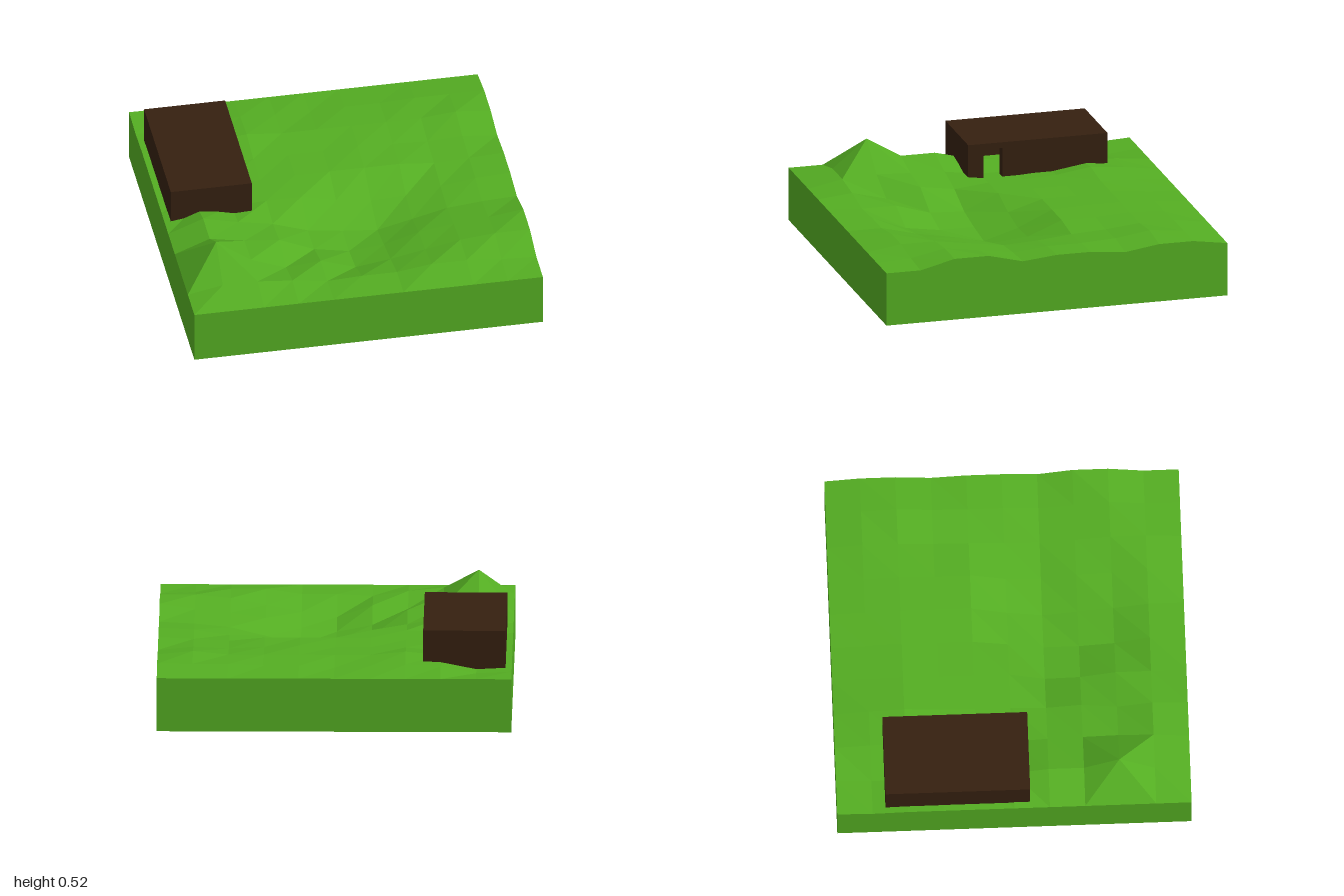
import * as THREE from 'three';

const GREEN = 0x54ad22, BROWN = 0x352010;

// Ground heights in hundredths: rows run back to front, columns from x = -1 to 1
const HEIGHTS = [
  [31, 31, 31, 31, 31, 31, 31, 31, 31, 31, 31],
  [30, 29, 33, 34, 33, 32, 33, 33, 34, 34, 34],
  [31, 30, 34, 36, 34, 34, 34, 34, 34, 36, 34],
  [31, 31, 31, 33, 33, 33, 34, 33, 32, 33, 31],
  [31, 31, 31, 32, 33, 33, 33, 33, 31, 32, 33],
  [31, 34, 31, 32, 32, 27, 24, 25, 29, 32, 33],
  [31, 39, 34, 30, 23, 20, 18, 23, 28, 30, 31],
  [31, 39, 35, 33, 24, 20, 22, 28, 31, 33, 36],
  [31, 51, 36, 28, 30, 23, 26, 30, 34, 36, 36],
  [31, 35, 35, 33, 30, 31, 31, 34, 34, 32, 31],
  [31, 31, 31, 31, 31, 31, 31, 31, 31, 31, 31],
];
const N = 10;

// Block of ground with a hilly top
function makeGround() {
  const geo = new THREE.BoxGeometry(2, 1, 2, N, 1, N);
  const pos = geo.attributes.position;
  for (let i = 0; i < pos.count; i++) {
    const col = Math.round((pos.getX(i) + 1) * N / 2);
    const row = Math.round((pos.getZ(i) + 1) * N / 2);
    pos.setY(i, pos.getY(i) > 0 ? HEIGHTS[row][col] / 100 : 0);
  }
  // Turn the diagonals of two top cells so they meet at the peak
  const topStart = 2 * N * 6;
  for (const [col, row] of [[0, 7], [1, 8]]) {
    const o = topStart + 6 * (row * N + col);
    const [a, b, d, , c] = geo.index.array.slice(o, o + 6);
    [a, b, c, a, c, d].forEach((v, k) => geo.index.setX(o + k, v));
  }
  geo.computeVertexNormals();
  const mesh = new THREE.Mesh(geo, new THREE.MeshStandardMaterial({ color: GREEN, flatShading: true }));
  mesh.name = 'ground';
  return mesh;
}

// Hollow flat-roofed hut with a doorway on its +x side
function makeHut() {
  const hut = new THREE.Group();
  hut.name = 'hut';
  const material = new THREE.MeshStandardMaterial({ color: BROWN, flatShading: true });
  const x0 = -0.965, x1 = -0.5, y0 = 0.27, y1 = 0.518, z0 = -0.727, z1 = 0.09, t = 0.06;
  const doorBack = -0.11, doorFront = 0, doorTop = 0.485;
  const slab = (name, ax, bx, ay, by, az, bz) => {
    const mesh = new THREE.Mesh(new THREE.BoxGeometry(bx - ax, by - ay, bz - az), material);
    mesh.position.set((ax + bx) / 2, (ay + by) / 2, (az + bz) / 2);
    mesh.name = name;
    hut.add(mesh);
  };
  slab('roof', x0, x1, doorTop, y1, z0, z1);
  slab('rightWall', x0, x0 + t, y0, doorTop, z0, z1);
  slab('backWall', x0 + t, x1 - t, y0, doorTop, z0, z0 + t);
  slab('frontWall', x0 + t, x1 - t, y0, doorTop, z1 - t, z1);
  slab('doorWallBack', x1 - t, x1, y0, doorTop, z0, doorBack);
  slab('doorWallFront', x1 - t, x1, y0, doorTop, doorFront, z1);
  return hut;
}

export function createModel() {
  const model = new THREE.Group();
  model.name = 'hutOnHill';
  model.add(makeGround(), makeHut());
  return model;
}
